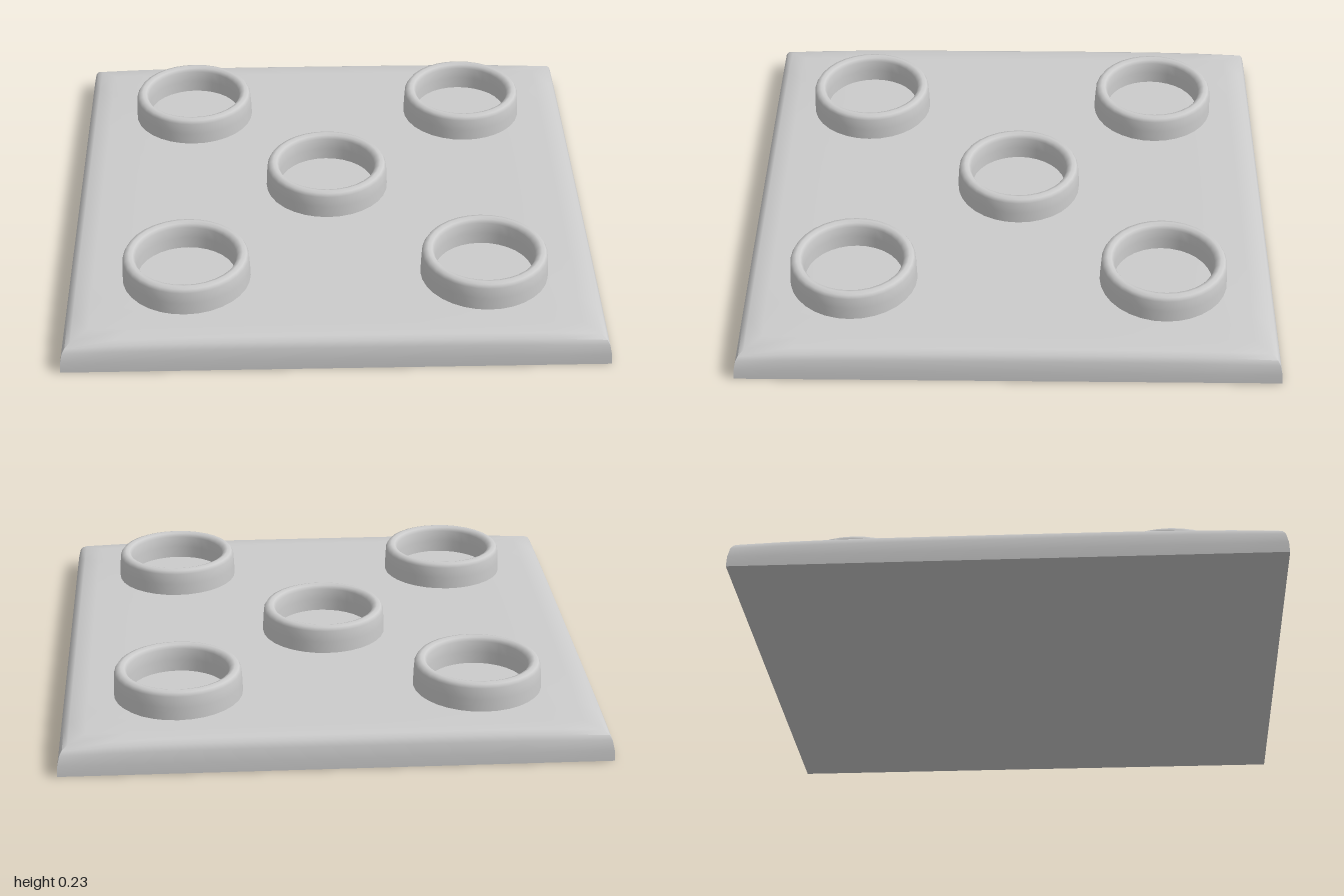
import * as THREE from 'three';
import { toCreasedNormals } from 'three/addons/utils/BufferGeometryUtils.js';

const material = new THREE.MeshStandardMaterial({ color: 0xcccccc });

// Square plate lofted from concentric square loops: [half width, height, drop at corners]
function plateGeometry() {
  const loops = [[0, 0, 0], [1, 0, 0], [0.998, 0.04, 0], [0.99, 0.085, 0.008], [0.98, 0.108, 0.014],
    [0.96, 0.119, 0.012], [0.9, 0.122, 0.004], [0.7, 0.124, 0], [0, 0.124, 0]];
  const perSide = 12, count = perSide * 4;
  const positions = [], indices = [];
  for (const [half, height, drop] of loops) {
    for (let i = 0; i < count; i++) {
      const side = Math.floor(i / perSide);
      const t = (i % perSide) / perSide * 2 - 1;
      const [x, z] = [[t, 1], [1, -t], [-t, -1], [-1, t]][side];
      positions.push(x * half, height - drop * t ** 4, z * half);
    }
  }
  for (let r = 0; r < loops.length - 1; r++) {
    for (let i = 0; i < count; i++) {
      const j = (i + 1) % count;
      const a = r * count + i, b = r * count + j, c = a + count, d = b + count;
      if (r > 0) indices.push(a, b, d);
      if (r < loops.length - 2) indices.push(a, d, c);
    }
  }
  const geometry = new THREE.BufferGeometry();
  geometry.setAttribute('position', new THREE.Float32BufferAttribute(positions, 3));
  geometry.setIndex(indices);
  return toCreasedNormals(geometry, Math.PI / 4);
}

// Raised open ring with a rounded rim
function ringGeometry() {
  const profile = [[0.24, 0.11], [0.238, 0.17], [0.235, 0.213], [0.227, 0.226], [0.212, 0.231],
    [0.198, 0.226], [0.189, 0.213], [0.186, 0.17], [0.185, 0.11]];
  return new THREE.LatheGeometry(profile.map(([x, y]) => new THREE.Vector2(x, y)), 32);
}

export function createModel() {
  const model = new THREE.Group();
  model.name = 'studdedPlate';

  const plate = new THREE.Mesh(plateGeometry(), material);
  plate.name = 'plate';
  model.add(plate);

  // One ring near each corner and one in the middle
  const ring = ringGeometry();
  const centres = [[-0.55, -0.58], [0.565, -0.58], [-0.01, -0.03], [-0.55, 0.585], [0.565, 0.585]];
  centres.forEach(([x, z], i) => {
    const mesh = new THREE.Mesh(ring, material);
    mesh.name = `ring${i + 1}`;
    mesh.position.set(x, 0, z);
    model.add(mesh);
  });
  return model;
}
